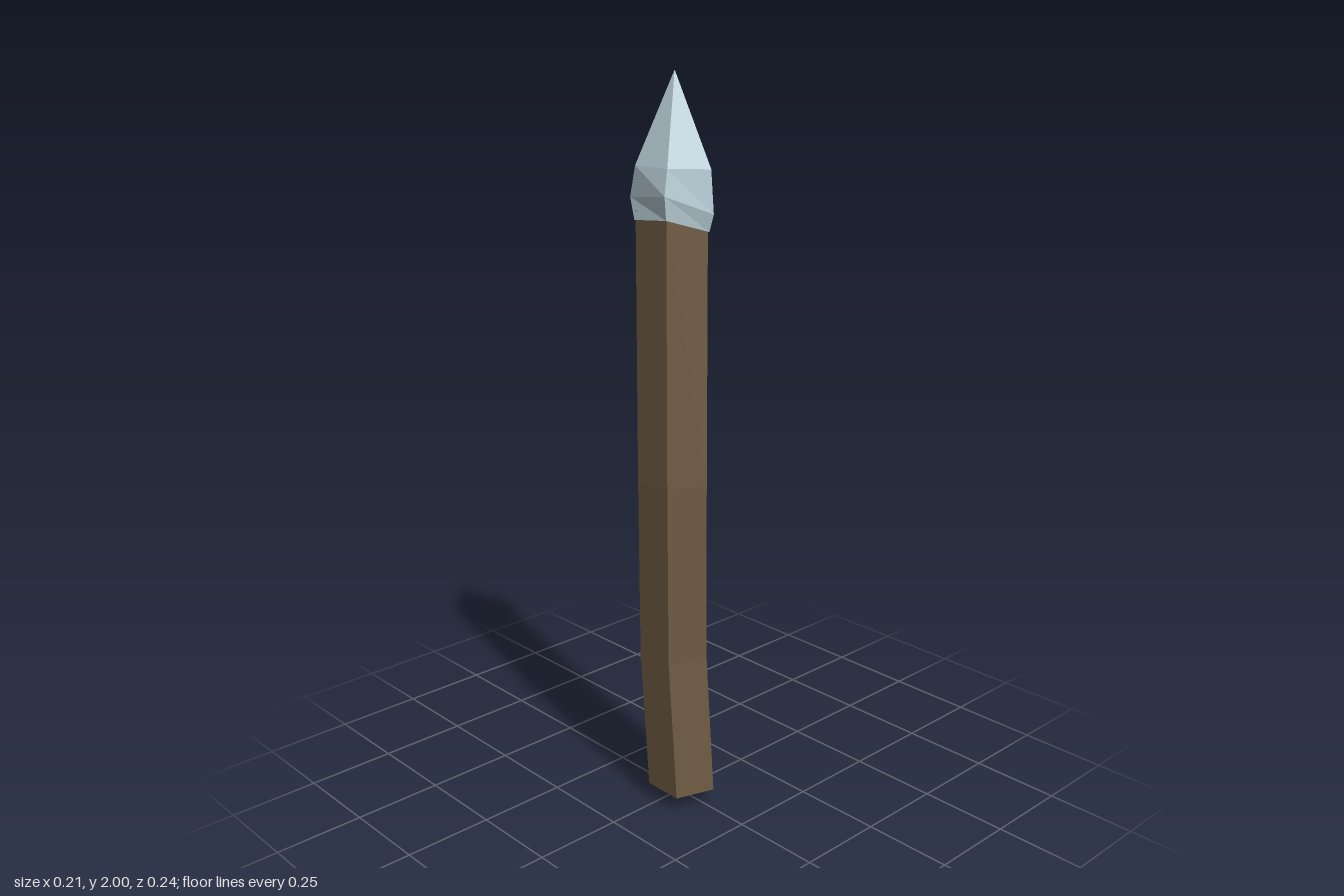
import * as THREE from 'three';

const SIDES = 5;

// Five-sided ring, first corner at +x, next towards +z
function ring(cx, y, cz, r) {
  return Array.from({ length: SIDES }, (_, i) => {
    const a = (i / SIDES) * Math.PI * 2;
    return [cx + r * Math.cos(a), y, cz + r * Math.sin(a)];
  });
}

// Faceted skin over rings from bottom to top, closed by a point at each end
function loft(bottom, rings, top) {
  const pos = [];
  const tri = (a, b, c) => pos.push(...a, ...b, ...c);
  const last = rings[rings.length - 1];
  for (let i = 0; i < SIDES; i++) {
    const j = (i + 1) % SIDES;
    tri(bottom, rings[0][i], rings[0][j]);
    for (let k = 0; k < rings.length - 1; k++) {
      const lo = rings[k], hi = rings[k + 1];
      tri(lo[i], hi[i], hi[j]);
      tri(lo[i], hi[j], lo[j]);
    }
    tri(last[i], top, last[j]);
  }
  const g = new THREE.BufferGeometry();
  g.setAttribute('position', new THREE.Float32BufferAttribute(pos, 3));
  g.computeVertexNormals();
  return g;
}

export function createModel() {
  const wood = new THREE.MeshStandardMaterial({ color: 0x6e5a42 });
  wood.name = 'wood';
  const steel = new THREE.MeshStandardMaterial({ color: 0xb6ccd4 });
  steel.name = 'paleSteel';

  const model = new THREE.Group();
  model.name = 'spear';

  // Slightly crooked shaft: x, y, z of each section centre
  const spine = [
    [-0.012, 0.045, 0.027],
    [-0.021, 0.45, 0.005],
    [-0.027, 0.95, 0.008],
    [-0.012, 1.66, -0.009],
  ];
  const shaft = new THREE.Mesh(
    loft([-0.012, 0, 0.027], spine.map(([x, y, z]) => ring(x, y, z, 0.097)), [-0.012, 1.7, -0.009]),
    wood
  );
  shaft.name = 'shaft';

  // Hand-hewn head: lower rim, widest belt and shoulder, one corner per side
  const rim = [
    [0.087, 1.655, -0.008], [0.02, 1.61, 0.087], [-0.093, 1.645, 0.05],
    [-0.093, 1.635, -0.068], [0.02, 1.63, -0.104],
  ];
  const belt = [
    [0.105, 1.705, -0.007], [0.022, 1.655, 0.1], [-0.101, 1.705, 0.053],
    [-0.087, 1.69, -0.09], [0.03, 1.67, -0.12],
  ];
  const shoulder = [
    [0.09, 1.765, -0.008], [0.021, 1.765, 0.091], [-0.087, 1.77, 0.048],
    [-0.09, 1.77, -0.067], [0.02, 1.77, -0.105],
  ];
  const head = new THREE.Mesh(
    loft([-0.012, 1.65, -0.009], [rim, belt, shoulder], [-0.009, 2, -0.009]),
    steel
  );
  head.name = 'spearhead';

  model.add(shaft, head);
  return model;
}
